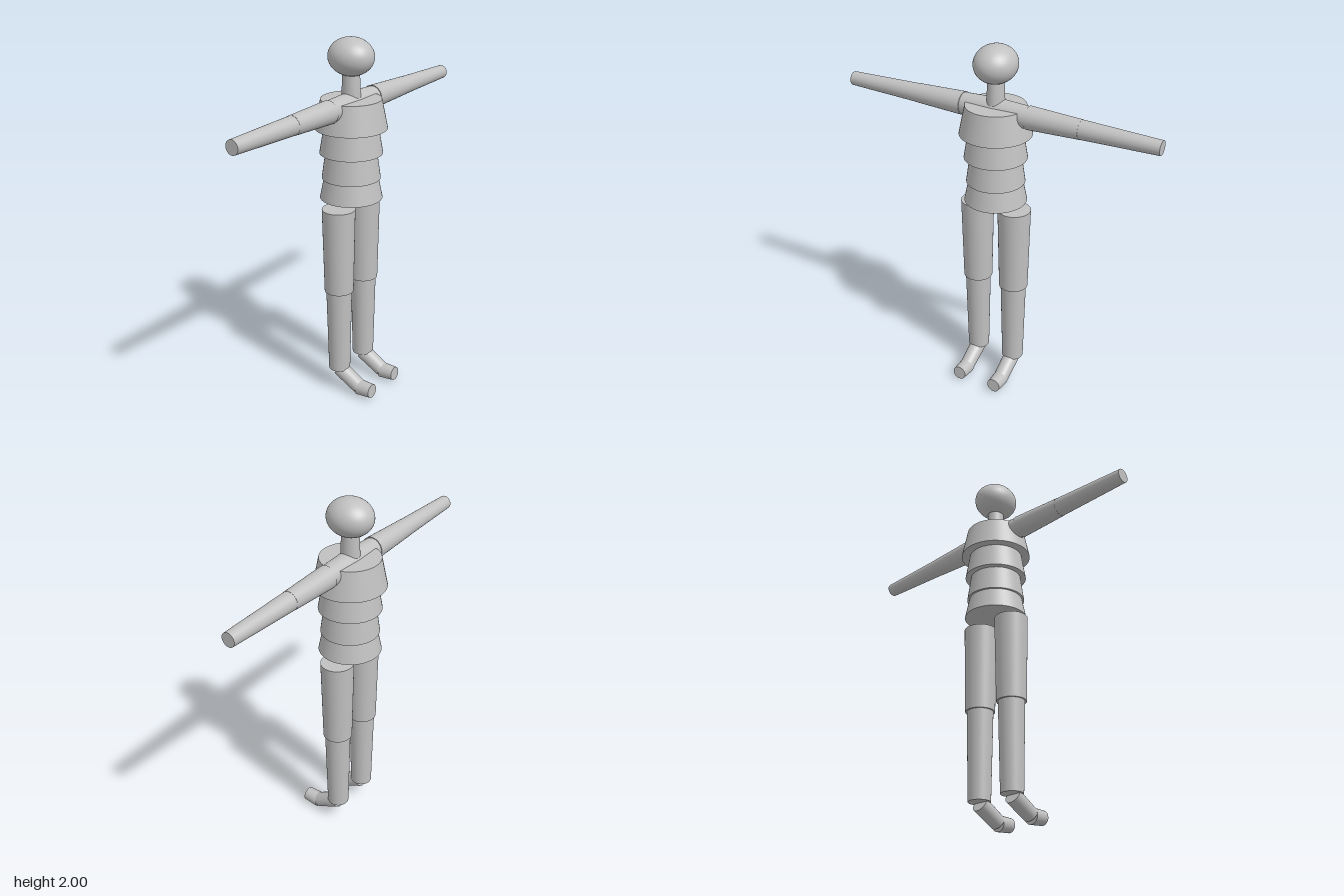
import * as THREE from 'three';

const Z = -0.017; // depth of the body axis

export function createModel() {
  const model = new THREE.Group();
  model.name = 'mannequin';
  const grey = new THREE.MeshStandardMaterial({ color: 0xc0c0c0 });
  grey.name = 'plain grey';

  // Capped, tapered segment running from point a to point b
  const segment = (name, a, b, ra, rb) => {
    const from = new THREE.Vector3(...a);
    const to = new THREE.Vector3(...b);
    const axis = to.clone().sub(from);
    const mesh = new THREE.Mesh(new THREE.CylinderGeometry(rb, ra, axis.length(), 48), grey);
    mesh.name = name;
    mesh.position.copy(from).add(to).multiplyScalar(0.5);
    mesh.quaternion.setFromUnitVectors(new THREE.Vector3(0, 1, 0), axis.normalize());
    model.add(mesh);
    return mesh;
  };

  // Head, slightly longer than wide, and neck
  const head = new THREE.Mesh(new THREE.SphereGeometry(1, 48, 32), grey);
  head.name = 'head';
  head.scale.set(0.113, 0.1, 0.126);
  head.position.set(0, 1.9, Z);
  model.add(head);
  const neck = segment('neck', [0, 1.66, Z], [0, 1.82, Z], 0.054, 0.047);
  neck.scale.x = 0.9;

  // Torso: stacked flaring rings [name, bottom, top, bottom radius, top radius]
  for (const [name, y0, y1, r0, r1] of [
    ['chest', 1.525, 1.682, 0.193, 0.161],
    ['ribs', 1.389, 1.525, 0.169, 0.146],
    ['waist', 1.25, 1.389, 0.158, 0.138],
    ['hips', 1.138, 1.25, 0.169, 0.146],
  ]) segment(name, [0, y0, Z], [0, y1, Z], r0, r1);

  for (const [side, s] of [['left', 1], ['right', -1]]) {
    // Arm, straight out to the side
    const arm = (part, x0, x1, r0, r1) =>
      segment(side + part, [s * x0, 1.65, Z], [s * x1, 1.65, Z], r0, r1);
    arm('Shoulder', 0, 0.19, 0.066, 0.058);
    arm('UpperArm', 0.19, 0.48, 0.062, 0.051);
    arm('Forearm', 0.48, 0.8, 0.05, 0.041);
    arm('Hand', 0.8, 0.9, 0.041, 0.038);

    // Leg and bent foot
    const x = s * 0.114;
    segment(side + 'Thigh', [x, 0.62, Z], [x, 1.102, Z], 0.08, 0.09);
    segment(side + 'Shin', [x, 0.13, Z], [x, 0.62, Z], 0.06, 0.071);
    segment(side + 'Foot', [x, 0.122, Z + 0.004], [x, 0.048, 0.122], 0.045, 0.042);
    segment(side + 'Toes', [x, 0.045, 0.122], [x, 0.049, 0.21], 0.044, 0.039);
  }
  return model;
}
